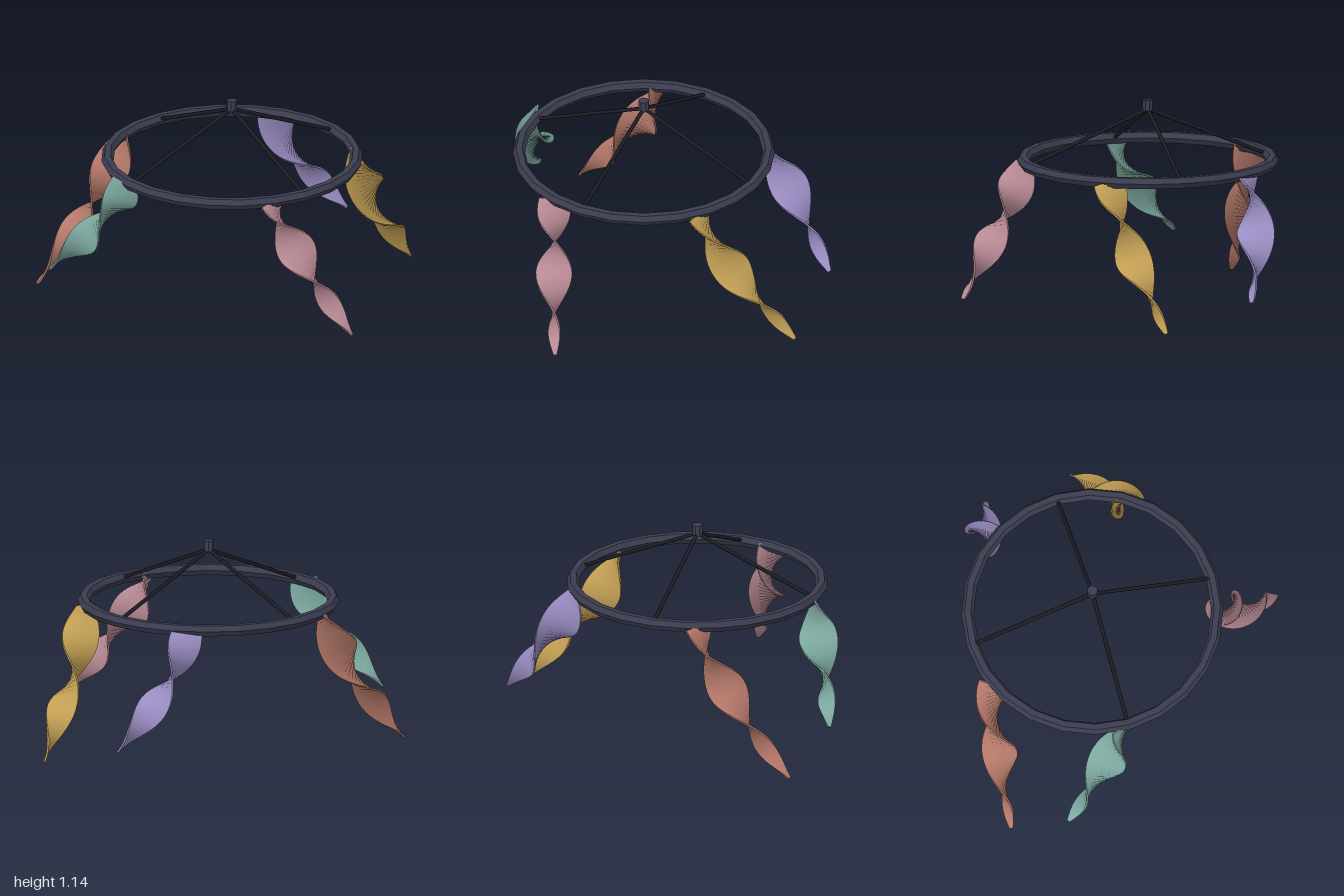
import * as THREE from 'three';

const CENTRE = new THREE.Vector3(0.0875, 0, 0.095);
const RING_Y = 0.817, RING_R = 0.69;

const mat = (color, flatShading = false) => new THREE.MeshStandardMaterial({ color, flatShading });

// Each ribbon: centre line from ring to tip, first width direction and total twist in degrees
const RIBBONS = [
  { name: 'goldRibbon', color: 0xc4a055, start: 58, twist: -355,
    path: [[0.77, 0.82, -0.035], [0.79, 0.66, -0.11], [0.825, 0.47, -0.2], [0.9, 0.28, -0.34], [0.985, 0.045, -0.525]] },
  { name: 'purpleRibbon', color: 0x9b8ec4, start: 10, twist: -290,
    path: [[0.19, 0.82, -0.59], [0.225, 0.69, -0.64], [0.29, 0.55, -0.7], [0.4, 0.39, -0.76], [0.575, 0.18, -0.835]] },
  { name: 'pinkRibbon', color: 0xb98a95, start: 128, twist: -395,
    path: [[0.415, 0.82, 0.705], [0.465, 0.7, 0.71], [0.55, 0.56, 0.73], [0.67, 0.38, 0.77], [0.885, 0.1, 0.82]] },
  { name: 'terracottaRibbon', color: 0xb5796a, start: 80, twist: -395,
    path: [[-0.55, 0.82, -0.185], [-0.61, 0.66, -0.155], [-0.7, 0.47, -0.07], [-0.82, 0.27, 0.02], [-0.99, 0.02, 0.17]] },
  { name: 'tealRibbon', color: 0x7ca89f, start: 25, twist: -295,
    path: [[-0.43, 0.82, 0.575], [-0.47, 0.69, 0.57], [-0.56, 0.57, 0.545], [-0.69, 0.42, 0.52], [-0.87, 0.235, 0.465]] },
];

// Thin twisted strip with a rectangular cross-section that swells, then tapers to the tip
function ribbonGeometry({ path, start, twist }) {
  const curve = new THREE.CatmullRomCurve3(path.map(p => new THREE.Vector3(...p)));
  const SEG = 40, HALF_THICK = 0.005;
  const sections = [];
  for (let i = 0; i <= SEG; i++) {
    const t = i / SEG;
    const centre = curve.getPointAt(t);
    const tangent = curve.getTangentAt(t);
    const side = new THREE.Vector3(1, 0, 0);
    side.addScaledVector(tangent, -side.dot(tangent)).normalize();
    const wide = side.applyAxisAngle(tangent, THREE.MathUtils.degToRad(start + twist * t));
    const thick = new THREE.Vector3().crossVectors(tangent, wide);
    const half = 0.01 + 0.098 * Math.sin(Math.PI * (0.26 + 0.74 * t));
    sections.push([[1, 1], [-1, 1], [-1, -1], [1, -1]].map(([w, n]) =>
      centre.clone().addScaledVector(wide, w * half).addScaledVector(thick, n * HALF_THICK)));
  }
  const positions = [], index = [];
  const add = v => positions.push(v.x, v.y, v.z) / 3 - 1;
  // Four long sides, each with its own vertices so the edges stay sharp
  for (let k = 0; k < 4; k++) {
    const base = positions.length / 3;
    sections.forEach(s => { add(s[k]); add(s[(k + 1) % 4]); });
    for (let i = 0; i < SEG; i++) {
      const a = base + i * 2;
      index.push(a, a + 1, a + 3, a, a + 3, a + 2);
    }
  }
  // End caps
  for (const corners of [[...sections[0]].reverse(), sections[SEG]]) {
    const [a, b, c, d] = corners.map(add);
    index.push(a, b, c, a, c, d);
  }
  const geometry = new THREE.BufferGeometry();
  geometry.setAttribute('position', new THREE.Float32BufferAttribute(positions, 3));
  geometry.setIndex(index);
  geometry.computeVertexNormals();
  return geometry;
}

// Straight rod between two points
function rod(from, to, radius, material) {
  const along = to.clone().sub(from);
  const mesh = new THREE.Mesh(new THREE.CylinderGeometry(radius, radius, along.length(), 6), material);
  mesh.position.copy(from).add(to).multiplyScalar(0.5);
  mesh.quaternion.setFromUnitVectors(new THREE.Vector3(0, 1, 0), along.normalize());
  return mesh;
}

export function createModel() {
  const model = new THREE.Group();
  const frameMat = mat(0x3b3d50, true);
  const rodMat = mat(0x1c1c24);

  // Hoop and hanging frame
  const frame = new THREE.Group();
  frame.name = 'hangingFrame';
  frame.position.copy(CENTRE);
  model.add(frame);

  const ring = new THREE.Mesh(new THREE.TorusGeometry(RING_R, 0.034, 6, 24), frameMat);
  ring.name = 'ring';
  ring.rotation.x = Math.PI / 2;
  ring.position.y = RING_Y;
  frame.add(ring);

  const hub = new THREE.Mesh(new THREE.CylinderGeometry(0.03, 0.03, 0.06, 8), frameMat);
  hub.name = 'hub';
  hub.position.y = 1.126;
  frame.add(hub);

  const apex = new THREE.Vector3(0, 1.105, 0);
  for (let i = 0; i < 4; i++) {
    const a = Math.PI / 4 + i * Math.PI / 2;
    const foot = new THREE.Vector3(RING_R * Math.cos(a), RING_Y, RING_R * Math.sin(a));
    const strut = rod(apex, foot, 0.011, rodMat);
    strut.name = 'supportRod' + (i + 1);
    frame.add(strut);
  }

  // Twisted ribbons hung around the hoop
  for (const spec of RIBBONS) {
    const ribbon = new THREE.Mesh(ribbonGeometry(spec), mat(spec.color));
    ribbon.name = spec.name;
    model.add(ribbon);
  }
  return model;
}
